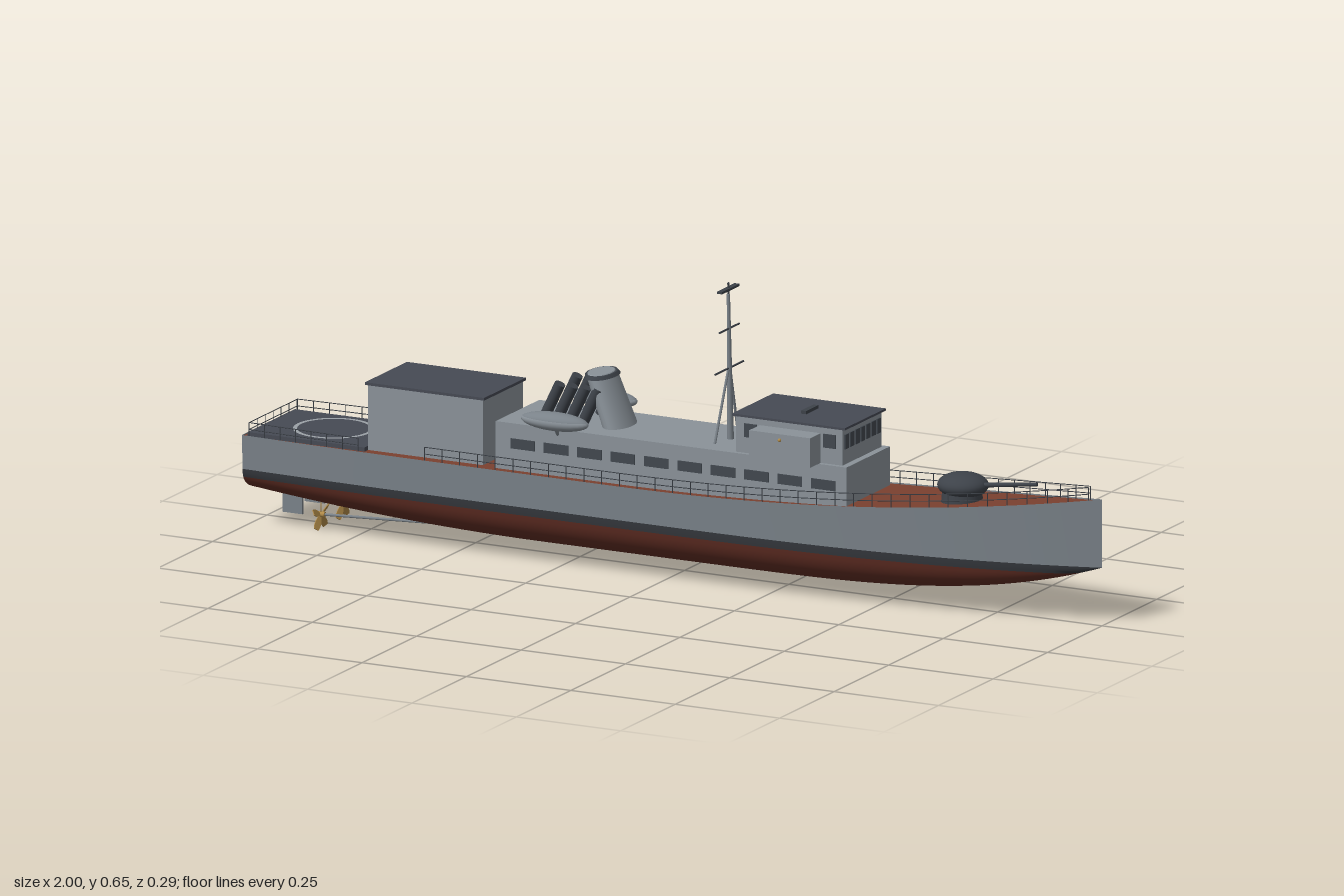
import * as THREE from 'three';

const mat = (name, color, side = THREE.FrontSide) => {
  const m = new THREE.MeshStandardMaterial({ color, side });
  m.name = name;
  return m;
};

// Hull lines: half beam, keel height, deck height and width at any height
const WATER = 0.13, PAINT = 0.112;
const beam = x => x > 0 ? 0.127 * (1 - Math.pow(x, 2.7)) : 0.127 - 0.012 * x ** 4;
const keel = x => x > 0.2 ? 0.035 + 0.095 * ((x - 0.2) / 0.8) ** 3
  : x < -0.3 ? 0.035 + 0.04 * ((-0.3 - x) / 0.7) ** 2 : 0.035;
const sheer = x => 0.205 + (x > -0.1 ? 0.075 * ((x + 0.1) / 1.1) ** 2 : 0);
const width = (x, y) => {
  if (y >= WATER) return beam(x) * (0.975 + 0.025 * (y - WATER) / (sheer(x) - WATER));
  const t = Math.min(1, (WATER - y) / Math.max(1e-6, WATER - keel(x)));
  return 0.975 * beam(x) * Math.pow(1 - Math.pow(t, 2.4), 1 / 2.4);
};

// Grid surface from a rule f(u, v) -> [x, y, z]
function surface(f, nu, nv) {
  const pos = [], idx = [];
  for (let i = 0; i <= nu; i++) for (let j = 0; j <= nv; j++) pos.push(...f(i / nu, j / nv));
  for (let i = 0; i < nu; i++) for (let j = 0; j < nv; j++) {
    const a = i * (nv + 1) + j, b = a + nv + 1;
    idx.push(a, a + 1, b, b, a + 1, b + 1);
  }
  const g = new THREE.BufferGeometry();
  g.setAttribute('position', new THREE.Float32BufferAttribute(pos, 3));
  g.setIndex(idx);
  g.computeVertexNormals();
  return g;
}

export function createModel() {
  const ship = new THREE.Group();
  ship.name = 'patrolShip';
  const D = THREE.DoubleSide;
  const M = {
    hull: mat('hullGrey', 0x7a8289, D),
    house: mat('superstructureGrey', 0x8a9299),
    roof: mat('roofSlate', 0x464a54),
    deck: mat('deckRed', 0x7a402f, D),
    bottom: mat('bottomRed', 0x5e2c22, D),
    band: mat('waterlineBlack', 0x33363b, D),
    gun: mat('fittingDark', 0x3d4249),
    brass: mat('brass', 0xb08a48, D),
    glass: mat('windowDark', 0x42484f),
    mark: mat('markingGrey', 0x9ba1a6),
  };
  const add = (name, geo, m, x = 0, y = 0, z = 0, parent = ship) => {
    const mesh = new THREE.Mesh(geo, m);
    mesh.name = name;
    mesh.position.set(x, y, z);
    parent.add(mesh);
    return mesh;
  };
  // Box given by its limits
  const box = (name, m, x0, x1, y0, y1, z0, z1) =>
    add(name, new THREE.BoxGeometry(x1 - x0, y1 - y0, z1 - z0), m, (x0 + x1) / 2, (y0 + y1) / 2, (z0 + z1) / 2);
  // Round bar between two points
  const bar = (name, m, a, b, r0, r1 = r0, sides = 8) => {
    const p = new THREE.Vector3(...a), q = new THREE.Vector3(...b), d = q.clone().sub(p);
    const mesh = add(name, new THREE.CylinderGeometry(r1, r0, d.length(), sides), m);
    mesh.position.copy(p).add(q).multiplyScalar(0.5);
    mesh.quaternion.setFromUnitVectors(new THREE.Vector3(0, 1, 0), d.normalize());
    return mesh;
  };

  // Hull bottom, waterline band and topsides
  const station = u => -1 + 2 * u;
  add('hullBottom', surface((u, v) => {
    const x = station(u), a = (v - 0.5) * Math.PI, k = keel(x), top = Math.max(k, PAINT);
    const y = top - (top - k) * Math.pow(Math.max(0, Math.cos(a)), 0.85);
    return [x, y, Math.sign(v - 0.5) * width(x, y)];
  }, 80, 32), M.bottom);
  const layers = [
    ['waterlineBand', M.band, x => Math.max(keel(x), PAINT), () => WATER],
    ['topside', M.hull, () => WATER, sheer],
  ];
  for (const [name, m, low, high] of layers) {
    for (const s of [1, -1]) add(name, surface((u, v) => {
      const x = station(u), y = THREE.MathUtils.lerp(low(x), high(x), v);
      return [x, y, s * width(x, y)];
    }, 80, 4), m);
  }
  // Transom in the same three colours
  for (const [m, y0, y1] of [[M.bottom, keel(-1), PAINT], [M.band, PAINT, WATER], [M.hull, WATER, sheer(-1)]]) {
    add('transom', surface((u, v) => {
      const y = y0 + (y1 - y0) * u * u;
      return [-1, y, (v * 2 - 1) * width(-1, y)];
    }, 12, 2), m);
  }
  add('deck', surface((u, v) => {
    const x = station(u), y = sheer(x) - 0.003;
    return [x, y, (1 - 2 * v) * width(x, y)];
  }, 80, 2), M.deck);

  // Helicopter deck with landing circle
  box('helicopterDeck', M.roof, -0.99, -0.71, 0.2, 0.211, -0.108, 0.108);
  add('landingCircle', new THREE.RingGeometry(0.078, 0.087, 48), M.mark, -0.84, 0.2125, 0).rotation.x = -Math.PI / 2;

  // Hangar, deckhouse and bridge
  box('hangar', M.house, -0.71, -0.435, 0.2, 0.345, -0.092, 0.092);
  box('hangarRoof', M.roof, -0.715, -0.43, 0.345, 0.351, -0.096, 0.096);
  box('deckhouse', M.house, -0.4, 0.44, 0.2, 0.305, -0.1, 0.1);
  box('bridge', M.house, 0.17, 0.425, 0.305, 0.384, -0.09, 0.09);
  box('bridgeRoof', M.roof, 0.163, 0.433, 0.384, 0.389, -0.094, 0.094);
  box('navigationRadar', M.gun, 0.294, 0.306, 0.389, 0.396, -0.028, 0.028);
  for (let i = -3; i <= 3; i++) {
    box('bridgeWindow', M.glass, 0.424, 0.428, 0.339, 0.371, i * 0.0245 - 0.0085, i * 0.0245 + 0.0085);
  }
  for (const s of [1, -1]) {
    for (let i = 0; i < 10; i++) {
      add('deckhouseWindow', new THREE.BoxGeometry(0.058, 0.022, 0.004), M.glass, -0.335 + i * 0.08, 0.261, s * 0.1);
    }
    for (const x of [0.205, 0.395]) {
      add('bridgeSideWindow', new THREE.BoxGeometry(0.03, 0.03, 0.004), M.glass, x, 0.355, s * 0.09);
    }
    add('bridgeWing', new THREE.BoxGeometry(0.146, 0.065, 0.05), M.house, 0.3, 0.3375, s * 0.113);
    add('sideLight', new THREE.SphereGeometry(0.004, 10, 8), M.brass, 0.3, 0.357, s * 0.139);
  }

  // Funnel: oval, leaning aft
  const funnel = (name, m, y0, y1, grow) => {
    const g = new THREE.CylinderGeometry(0.028 + grow, 0.031 + grow, y1 - y0, 32);
    g.scale(1, 1, 1.75);
    g.translate(0, (y0 + y1) / 2 - 0.305, 0);
    g.applyMatrix4(new THREE.Matrix4().makeShear(0, 0, -0.2, 0, 0, 0));
    const p = g.attributes.position;
    for (let i = 0; i < p.count; i++) p.setX(i, p.getX(i) - 0.2 * p.getY(i) * (p.getX(i) > 9 ? 0 : 1));
    g.computeVertexNormals();
    add(name, g, m, -0.155, 0.305, 0);
  };
  funnel('funnel', M.house, 0.3, 0.408, 0);
  funnel('funnelCap', M.gun, 0.408, 0.415, 0.001);
  funnel('funnelMouth', M.house, 0.412, 0.4165, -0.004);

  // Slanted launch tubes and lifeboats
  for (const s of [1, -1]) {
    for (let i = 0; i < 4; i++) {
      const x = -0.315 + i * 0.031;
      bar('launchTube', M.gun, [x, 0.31, s * 0.04], [x + 0.038, 0.388, s * 0.04], 0.012, 0.012, 14);
    }
    const boat = new THREE.Group();
    boat.name = 'lifeboat';
    boat.position.set(-0.252, 0.325, s * 0.112);
    boat.scale.set(0.08, 0.02, 0.027);
    ship.add(boat);
    add('lifeboatHull', new THREE.SphereGeometry(1, 28, 10, 0, Math.PI * 2, Math.PI * 0.42, Math.PI * 0.58), M.house, 0, 0, 0, boat);
    add('lifeboatCover', new THREE.SphereGeometry(1, 28, 8, 0, Math.PI * 2, 0, Math.PI * 0.42), M.hull, 0, 0, 0, boat);
    bar('lifeboatCradle', M.hull, [-0.252, 0.29, s * 0.095], [-0.252, 0.312, s * 0.112], 0.004);
  }

  // Mast with legs, yards and radar
  bar('mast', M.hull, [0.11, 0.3, 0], [0.105, 0.622, 0], 0.0075, 0.0035, 12);
  for (const s of [1, -1]) bar('mastLeg', M.hull, [0.1, 0.3, s * 0.055], [0.107, 0.458, s * 0.004], 0.003);
  for (const [y, half] of [[0.46, 0.065], [0.547, 0.045]]) {
    bar('yard', M.gun, [0.107, y, -half], [0.107, y, half], 0.0022);
  }
  box('mastRadar', M.gun, 0.099, 0.111, 0.631, 0.636, -0.04, 0.04);
  bar('radarPost', M.gun, [0.105, 0.62, 0], [0.105, 0.644, 0], 0.0022);
  add('mastLight', new THREE.SphereGeometry(0.003, 10, 8), M.gun, 0.105, 0.645, 0);

  // Bow gun
  add('gunBase', new THREE.CylinderGeometry(0.042, 0.045, 0.03, 28), M.gun, 0.665, 0.248, 0);
  add('gunTurret', new THREE.SphereGeometry(1, 28, 16), M.gun, 0.667, 0.272, 0).scale.set(0.056, 0.027, 0.052);
  bar('gunBarrel', M.gun, [0.7, 0.275, 0], [0.845, 0.294, 0], 0.0055, 0.004, 12);

  // Propellers, shafts and rudders
  const blade = new THREE.Shape();
  blade.moveTo(-0.003, 0.004);
  blade.quadraticCurveTo(-0.011, 0.022, -0.006, 0.036);
  blade.lineTo(0.006, 0.036);
  blade.quadraticCurveTo(0.011, 0.022, 0.003, 0.004);
  const bladeGeo = new THREE.ExtrudeGeometry(blade, { depth: 0.002, bevelEnabled: false }).translate(0, 0, -0.001).rotateY(0.5);
  for (const s of [1, -1]) {
    const prop = new THREE.Group();
    prop.name = 'propeller';
    prop.position.set(-0.845, 0.035, s * 0.05);
    prop.rotation.y = Math.PI / 2;
    ship.add(prop);
    add('propellerHub', new THREE.CylinderGeometry(0.006, 0.006, 0.02, 14), M.brass, 0, 0, 0, prop).rotation.x = Math.PI / 2;
    for (let i = 0; i < 5; i++) add('propellerBlade', bladeGeo, M.brass, 0, 0, 0, prop).rotation.z = i * Math.PI * 0.4;
    bar('propellerShaft', M.hull, [-0.84, 0.035, s * 0.05], [-0.55, 0.05, s * 0.05], 0.003);
    box('rudder', M.hull, -0.935, -0.888, 0.03, 0.095, s * 0.05 - 0.003, s * 0.05 + 0.003);
  }

  // Deck railings: posts and two rails along each edge
  const railing = (pt, n) => {
    for (let i = 0; i <= n; i++) {
      const p = pt(i / n);
      bar('railPost', M.gun, p, [p[0], p[1] + 0.03, p[2]], 0.0011, 0.0011, 5);
    }
    for (const h of [0.015, 0.03]) {
      const pts = Array.from({ length: n + 1 }, (_, i) => new THREE.Vector3(...pt(i / n)).add(new THREE.Vector3(0, h, 0)));
      add('rail', new THREE.TubeGeometry(new THREE.CatmullRomCurve3(pts), n * 3, 0.001, 5), M.gun);
    }
  };
  for (const s of [1, -1]) {
    for (const [x0, x1, n] of [[-0.56, 0.97, 36], [-0.985, -0.72, 7]]) {
      railing(u => {
        const x = x0 + (x1 - x0) * u;
        return [x, sheer(x) - 0.002, s * Math.max(0.001, beam(x) - 0.005)];
      }, n);
    }
  }
  railing(u => [-0.985, 0.203, (u * 2 - 1) * 0.11], 6);

  return ship;
}
